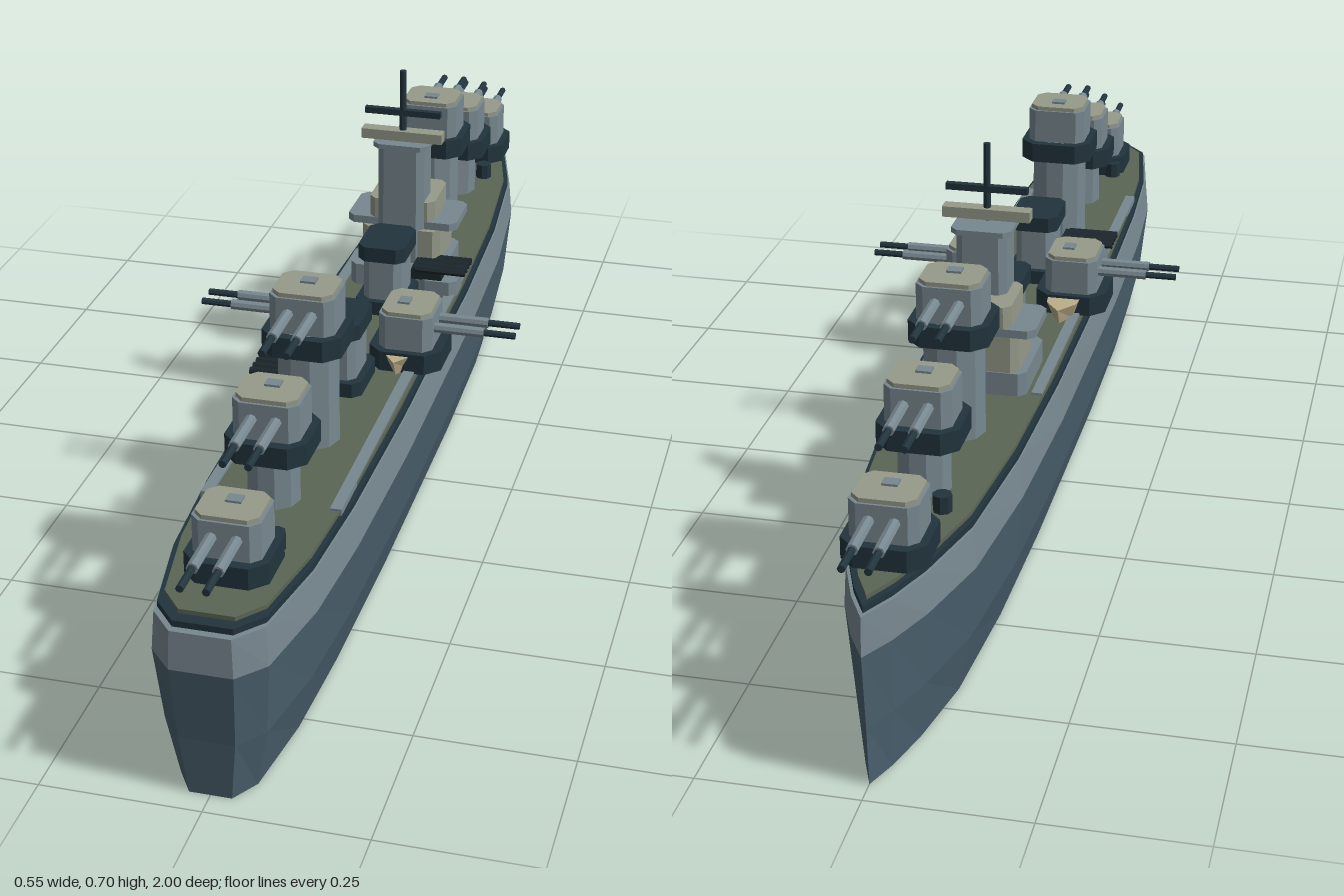
import * as THREE from 'three';

const mat = (name, color) => {
  const m = new THREE.MeshStandardMaterial({ color, flatShading: true });
  m.name = name;
  return m;
};

export function createModel() {
  const M = {
    hull: mat('lower hull slate', 0x4a606d),
    steel: mat('steel grey', 0x788890),
    dark: mat('dark blue steel', 0x22343d),
    deck: mat('deck olive', 0x5b6554),
    roof: mat('pale stone', 0x959a89),
    boat: mat('boat tan', 0xbcae8a),
    black: mat('gun black', 0x1b272d),
  };
  const ship = new THREE.Group();
  ship.name = 'warship';

  const add = (parent, name, geo, material, x = 0, y = 0, z = 0) => {
    const mesh = new THREE.Mesh(geo, material);
    mesh.name = name;
    mesh.position.set(x, y, z);
    parent.add(mesh);
    return mesh;
  };

  // Stacks a convex outline of [x, z] points at rows of [y, xScale, zScale] and caps both ends
  const loft = (outline, rows) => {
    const pos = [], n = outline.length;
    const p = (i, r) => [outline[i % n][0] * r[1], r[0], outline[i % n][1] * r[2]];
    for (let k = 0; k < rows.length - 1; k++) {
      for (let i = 0; i < n; i++) {
        const a0 = p(i, rows[k]), b0 = p(i + 1, rows[k]);
        const a1 = p(i, rows[k + 1]), b1 = p(i + 1, rows[k + 1]);
        pos.push(...a0, ...a1, ...b1, ...a0, ...b1, ...b0);
      }
    }
    const low = rows[0], top = rows[rows.length - 1];
    for (let i = 1; i < n - 1; i++) {
      pos.push(...p(0, low), ...p(i, low), ...p(i + 1, low));
      pos.push(...p(0, top), ...p(i + 1, top), ...p(i, top));
    }
    const g = new THREE.BufferGeometry();
    g.setAttribute('position', new THREE.Float32BufferAttribute(pos, 3));
    g.computeVertexNormals();
    return g;
  };

  // Rectangular block with chamfered corners in plan
  const block = (hx, hz, y0, y1, c = 0.012) => loft(
    [[hx, -hz + c], [hx, hz - c], [hx - c, hz], [-hx + c, hz],
      [-hx, hz - c], [-hx, -hz + c], [-hx + c, -hz], [hx - c, -hz]],
    [[y0, 1, 1], [y1, 1, 1]]);
  const post = (r, h, sides = 8) => new THREE.CylinderGeometry(r, r, h, sides);
  const box = (w, h, d) => new THREE.BoxGeometry(w, h, d);

  // Hull and deck share one waterline outline, pointed at -z and blunt at +z
  const half = [[0.03, -0.93], [0.062, -0.85], [0.1, -0.71], [0.122, -0.48], [0.131, -0.2],
    [0.133, 0.3], [0.127, 0.6], [0.115, 0.79], [0.087, 0.94], [0.048, 0.983]];
  const plan = [[0, -0.983], ...half, ...half.map(([x, z]) => [-x, z]).reverse()];
  add(ship, 'lowerHull', loft(plan, [[0, 0.68, 0.977], [0.1, 0.89, 0.985], [0.225, 1, 1]]), M.hull);
  add(ship, 'upperHull', loft(plan, [[0.225, 1, 1], [0.288, 0.95, 0.997]]), M.steel);
  add(ship, 'deckEdge', loft(plan, [[0.288, 0.93, 0.985], [0.298, 0.93, 0.985]]), M.dark);
  add(ship, 'deck', loft(plan, [[0.288, 0.87, 0.965], [0.305, 0.87, 0.965]]), M.deck);
  for (const s of [-1, 1]) {
    add(ship, 'sideWalkway', box(0.018, 0.014, 0.92), M.steel, s * 0.102, 0.302, 0.18);
  }

  // Twin gun turret facing local +z, with its house floor at y
  const turret = (name, x, y, z, turn, radius) => {
    const t = new THREE.Group();
    t.name = name;
    t.position.set(x, 0, z);
    t.rotation.y = turn;
    ship.add(t);
    if (y > 0.36) {
      const base = add(t, 'barbette', post(radius, y - 0.3, 10), M.steel, 0, (y + 0.3) / 2, 0);
      base.rotation.y = Math.PI / 10;
    }
    add(t, 'collar', block(0.064, 0.062, y - 0.035, y, 0.024), M.dark);
    add(t, 'house', block(0.052, 0.046, y, y + 0.06, 0.014), M.steel);
    add(t, 'roof', block(0.048, 0.042, y + 0.06, y + 0.067, 0.014), M.roof);
    add(t, 'hatch', box(0.024, 0.005, 0.02), M.steel, 0, y + 0.068, -0.01);
    for (const s of [-1, 1]) {
      const jacket = add(t, 'gunJacket', post(0.009, 0.09), M.steel, s * 0.019, y + 0.034, 0.085);
      const barrel = add(t, 'gunBarrel', post(0.006, 0.08), M.dark, s * 0.019, y + 0.034, 0.143);
      jacket.rotation.x = barrel.rotation.x = Math.PI / 2;
    }
  };
  for (const s of [-1, 1]) {
    const turn = s > 0 ? 0 : Math.PI;
    const end = s > 0 ? 'aft' : 'bow';
    turret(end + 'LowTurret', 0, 0.34, s * 0.818, turn, 0.05);
    turret(end + 'MiddleTurret', 0, 0.425, s * 0.62, turn, 0.042);
    turret(end + 'HighTurret', 0, 0.505, s * 0.425, turn, 0.05);
    turret('wingTurret', s * 0.09, 0.34, 0.115, s * Math.PI / 2, 0.05);
    // Bollards beside the end turrets
    for (const z of [-0.69, 0.76]) {
      add(ship, 'bollard', post(0.015, 0.03), M.dark, s * 0.045, 0.318, z);
    }
    // Boats stowed below the wing turrets
    const hullPlan = [[0, -0.105], [0.026, -0.07], [0.033, 0], [0.026, 0.07],
      [0, 0.105], [-0.026, 0.07], [-0.033, 0], [-0.026, -0.07]];
    add(ship, 'boat', loft(hullPlan, [[0.305, 0.65, 0.85], [0.335, 1, 1]]), M.boat, s * 0.082, 0, 0.1);
  }

  // Funnels
  for (const z of [-0.08, 0.23]) {
    const f = new THREE.Group();
    f.name = 'funnel';
    f.position.z = z;
    ship.add(f);
    add(f, 'funnelBase', block(0.046, 0.058, 0.3, 0.33, 0.014), M.dark);
    add(f, 'funnelBody', block(0.034, 0.046, 0.33, 0.405), M.steel);
    add(f, 'funnelCap', block(0.042, 0.054, 0.405, 0.432, 0.014), M.dark);
  }

  // Bridge: stepped blocks, tower, range bar and mast
  const bridge = new THREE.Group();
  bridge.name = 'bridge';
  ship.add(bridge);
  add(bridge, 'bridgeBase', block(0.085, 0.077, 0.3, 0.345), M.steel, 0, 0, -0.215);
  add(bridge, 'lowerTier', block(0.072, 0.06, 0.345, 0.408), M.roof, 0, 0, -0.23);
  add(bridge, 'bridgePlatform', block(0.1, 0.055, 0.408, 0.422), M.steel, 0, 0, -0.235);
  add(bridge, 'upperTier', block(0.06, 0.056, 0.422, 0.46), M.roof, 0, 0, -0.235);
  add(bridge, 'tower', block(0.042, 0.038, 0.345, 0.562), M.steel, 0, 0, -0.205);
  add(bridge, 'towerRoof', block(0.05, 0.042, 0.562, 0.571), M.steel, 0, 0, -0.205);
  add(bridge, 'rangeBar', box(0.146, 0.018, 0.024), M.roof, 0, 0.583, -0.19);
  add(bridge, 'mast', post(0.006, 0.135), M.dark, 0, 0.635, -0.19);
  add(bridge, 'yard', box(0.136, 0.011, 0.011), M.dark, 0, 0.625, -0.19);

  // Multi-barrel light guns pointing outboard
  for (const [s, z] of [[-1, 0.295], [1, -0.155]]) {
    const g = new THREE.Group();
    g.name = 'lightGunMount';
    g.position.set(s * 0.08, 0, z);
    ship.add(g);
    add(g, 'mountBase', block(0.034, 0.034, 0.3, 0.335), M.steel);
    add(g, 'mountBody', box(0.055, 0.022, 0.06), M.black, -s * 0.02, 0.345, 0);
    for (let i = 0; i < 4; i++) {
      const b = add(g, 'lightGunBarrel', post(0.006, 0.09, 6), M.black, s * 0.005, 0.353, (i - 1.5) * 0.018);
      b.rotation.z = Math.PI / 2;
    }
  }
  return ship;
}
